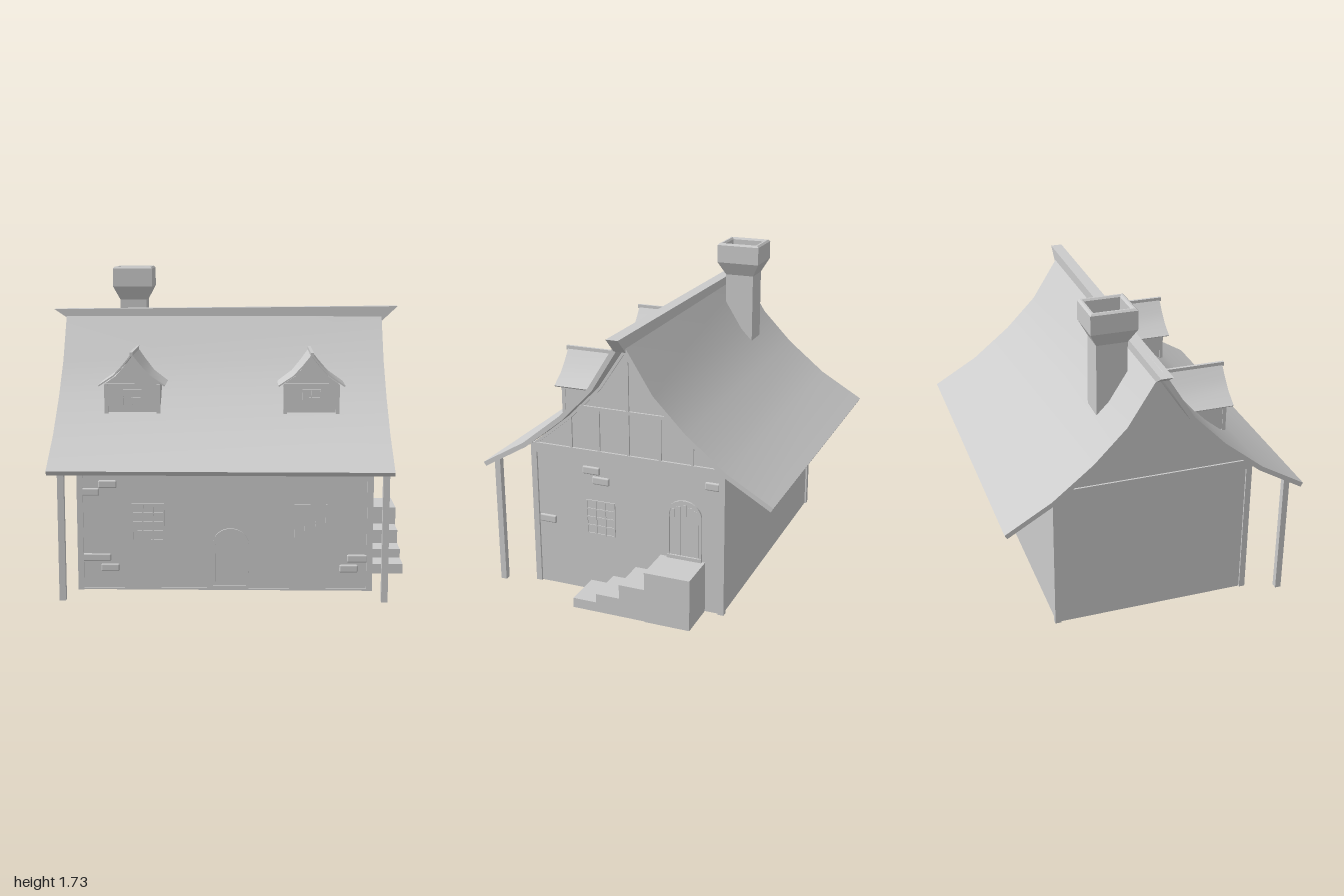
import * as THREE from 'three';
import { toCreasedNormals } from 'three/addons/utils/BufferGeometryUtils.js';
import { RoundedBoxGeometry } from 'three/addons/geometries/RoundedBoxGeometry.js';

const material = new THREE.MeshStandardMaterial({ color: 0xcccccc });

function add(parent, name, geometry) {
  const mesh = new THREE.Mesh(geometry, material);
  mesh.name = name;
  parent.add(mesh);
  return mesh;
}

// Box given by its limits on each axis
function box(parent, name, x0, x1, y0, y1, z0, z1) {
  const mesh = add(parent, name, new THREE.BoxGeometry(x1 - x0, y1 - y0, z1 - z0));
  mesh.position.set((x0 + x1) / 2, (y0 + y1) / 2, (z0 + z1) / 2);
  return mesh;
}

function extrude(points, depth) {
  const shape = new THREE.Shape(points.map(([x, y]) => new THREE.Vector2(x, y)));
  return new THREE.ExtrudeGeometry(shape, { depth, bevelEnabled: false });
}

// Extrusion whose profile lies across z and which runs from x0 to x1
function extrudeX(points, x0, x1) {
  return extrude(points, x1 - x0).rotateY(Math.PI / 2).translate(x0, 0, 0);
}

// Closed profile of a mirrored roof skin; half runs from eave to ridge
function roofProfile(half, t) {
  const inner = half.map(([x, y], i) => {
    const a = half[Math.max(i - 1, 0)], b = half[Math.min(i + 1, half.length - 1)];
    const dx = b[0] - a[0], dy = b[1] - a[1], len = Math.hypot(dx, dy);
    return x === 0 ? [0, y - t * len / Math.abs(dx)] : [x - t * dy / len, y + t * dx / len];
  });
  const mirror = (list) => list.slice(0, -1).reverse().map(([x, y]) => [-x, y]);
  return [...half, ...mirror(half), ...mirror(inner).reverse(), ...inner.reverse()];
}

// Arched door with frame, planks and sill; stands on local y = 0, faces +z
function makeDoor(name) {
  const door = new THREE.Group();
  door.name = name;
  const arch = (shape, w, h) => {
    const spring = h - w * 0.9;
    shape.moveTo(-w, 0).lineTo(w, 0).lineTo(w, spring);
    shape.absellipse(0, spring, w, w * 0.9, 0, Math.PI, false);
    return shape.lineTo(-w, 0);
  };
  const frame = arch(new THREE.Shape(), 0.0975, 0.34);
  frame.holes.push(arch(new THREE.Path(), 0.084, 0.326));
  const options = (depth) => ({ depth, bevelEnabled: false, curveSegments: 10 });
  add(door, 'doorFrame', new THREE.ExtrudeGeometry(frame, options(0.012)));
  add(door, 'doorLeaf', new THREE.ExtrudeGeometry(arch(new THREE.Shape(), 0.085, 0.327), options(0.003)));
  for (let i = -2; i <= 2; i++) {
    const x = i * 0.033, top = 0.315 - Math.abs(i) * 0.014;
    box(door, 'doorPlank', x - 0.012, x + 0.012, 0.02, top, 0, 0.007);
  }
  box(door, 'doorSill', -0.0975, 0.0975, 0, 0.022, 0, 0.016);
  return door;
}

// Window with a grid of bars, centred on its own origin and facing +z
function makeWindow(name, w, h, columns, rows) {
  const win = new THREE.Group();
  win.name = name;
  const b = w * 0.04;
  box(win, 'windowPane', -w / 2, w / 2, -h / 2, h / 2, 0, 0.004);
  for (let i = 0; i <= columns; i++) {
    const x = (i / columns - 0.5) * (w - b);
    box(win, 'windowBar', x - b / 2, x + b / 2, -h / 2, h / 2, 0, 0.01);
  }
  for (let i = 0; i <= rows; i++) {
    const y = (i / rows - 0.5) * (h - b);
    box(win, 'windowBar', -w / 2, w / 2, y - b / 2, y + b / 2, 0, 0.009);
  }
  return win;
}

function makeDormer(x) {
  const dormer = new THREE.Group();
  dormer.name = 'dormer';
  const walls = [[-0.148, 0.96], [0.148, 0.96], [0.148, 1.115], [0.09, 1.155], [0.045, 1.205], [0, 1.262],
    [-0.045, 1.205], [-0.09, 1.155], [-0.148, 1.115]];
  add(dormer, 'dormerWalls', extrude(walls, 0.335).translate(0, 0, 0.13));
  const half = [[0.18, 1.11], [0.1, 1.163], [0.05, 1.217], [0, 1.28]];
  const roof = extrude(roofProfile(half, 0.008), 0.365).translate(0, 0, 0.135);
  add(dormer, 'dormerRoof', toCreasedNormals(roof, 0.5));
  box(dormer, 'dormerRidge', -0.008, 0.008, 1.265, 1.288, 0.13, 0.51);
  box(dormer, 'dormerBeam', -0.148, 0.148, 1.105, 1.117, 0.46, 0.471);
  for (const s of [-1, 1]) {
    const post = box(dormer, 'dormerPost', -0.01, 0.01, 0.953, 1.11, 0.452, 0.472);
    post.position.x = s * 0.141;
  }
  const win = makeWindow('dormerWindow', 0.1, 0.09, 2, 2);
  win.position.set(0, 1.04, 0.464);
  dormer.add(win);
  dormer.position.x = x;
  return dormer;
}

export function createModel() {
  const house = new THREE.Group();
  house.name = 'cottage';

  // Walls with both gables
  add(house, 'walls', extrudeX([[-0.565, 0], [0.53, 0], [0.53, 0.84], [0.34, 1.005], [0.165, 1.185], [0, 1.43],
    [-0.165, 1.185], [-0.34, 1.005], [-0.565, 0.82]], -0.8, 0.77));
  for (const [x0, x1] of [[-0.81, -0.778], [0.75, 0.782]]) {
    box(house, 'cornerPost', x0, x1, 0, 0.83, 0.543, 0.576);
    box(house, 'cornerPost', x0, x1, 0, 0.83, -0.54, -0.507);
    box(house, 'wallBeam', x0, x1, 0.775, 0.83, -0.54, 0.555);
  }
  box(house, 'baseStrip', -0.78, 0.75, 0, 0.01, 0.56, 0.57);

  // Timber frame of the right gable
  box(house, 'collarBeam', 0.76, 0.781, 1.056, 1.076, -0.31, 0.31);
  box(house, 'kingPost', 0.76, 0.78, 1.07, 1.42, -0.007, 0.007);
  for (const [z, top] of [[0.333, 1.02], [0.17, 1.06], [0, 1.06], [-0.18, 1.06], [-0.36, 1.0]]) {
    box(house, 'gablePost', 0.76, 0.78, 0.82, top, z - 0.007, z + 0.007);
  }
  const rafters = [[0.555, 0.83], [0.335, 1.012], [0.162, 1.188], [0, 1.43]];
  add(house, 'gableRafters', extrudeX(roofProfile(rafters, 0.015), 0.76, 0.779));

  // Swept roof and its ridge beam with slanted ends
  const roofHalf = [[0.825, 0.705], [0.575, 0.852], [0.355, 1.03], [0.18, 1.21], [0.03, 1.45], [0, 1.49]];
  add(house, 'roof', toCreasedNormals(extrudeX(roofProfile(roofHalf, 0.026), -0.93, 0.865), 0.5));
  const ridge = [[-1, 1.487], [-0.93, 1.44], [0.865, 1.42], [0.885, 1.44], [0.955, 1.506]];
  add(house, 'ridgeBeam', extrude(ridge, 0.066).translate(0, 0, -0.035));

  house.add(makeDormer(-0.515), makeDormer(0.45));

  // Square chimney with a flared, hollow head
  const flue = [[0.075, 1.12], [0.075, 1.535], [0.1125, 1.612], [0.1125, 1.715], [0.103, 1.725], [0.094, 1.725],
    [0.086, 1.715], [0.086, 1.62], [0.055, 1.54], [0.055, 1.4], [0, 1.4]];
  const chimney = new THREE.LatheGeometry(flue.map(([r, y]) => new THREE.Vector2(r * Math.SQRT2, y)), 4)
    .rotateY(Math.PI / 4).scale(1, 1, 1.12).translate(-0.5575, 0, -0.163);
  add(house, 'chimney', toCreasedNormals(chimney, 0.3));

  // Posts under the front eave
  for (const x of [-0.865, 0.828]) box(house, 'porchPost', x - 0.017, x + 0.017, 0, 0.735, 0.735, 0.768);

  // Doors and windows
  const frontDoor = makeDoor('frontDoor');
  frontDoor.position.set(0.018, 0.003, 0.564);
  const sideDoor = makeDoor('sideDoor');
  sideDoor.position.set(0.769, 0.285, -0.315);
  sideDoor.rotation.y = Math.PI / 2;
  house.add(frontDoor, sideDoor);
  for (const x of [-0.427, 0.447]) {
    const win = makeWindow('frontWindow', 0.175, 0.205, 3, 4);
    win.position.set(x, 0.378, 0.576);
    house.add(win);
    box(house, 'windowBacking', x - 0.08, x + 0.08, 0.28, 0.475, 0.56, 0.577);
  }
  const sideWindow = makeWindow('sideWindow', 0.17, 0.2, 3, 4);
  sideWindow.position.set(0.767, 0.44, 0.17);
  sideWindow.rotation.y = Math.PI / 2;
  house.add(sideWindow);

  // Stairs rising to the side door
  for (const [z, top] of [[0.24, 0.055], [0.105, 0.105], [-0.03, 0.185]]) {
    box(house, 'stairStep', 0.765, 0.99, 0, top, -0.18, z);
  }
  box(house, 'stairLanding', 0.765, 0.995, 0, 0.287, -0.43, -0.177);

  // Loose bricks showing on the front wall: x limits, bottom
  const brick = (w, h, d, x, y, z) =>
    add(house, 'brick', new RoundedBoxGeometry(w, h, d, 2, 0.008)).position.set(x, y, z);
  for (const [x0, x1, y] of [[-0.695, -0.595, 0.563], [-0.785, -0.69, 0.52], [-0.785, -0.63, 0.158],
    [-0.685, -0.585, 0.102], [0.645, 0.755, 0.158], [0.605, 0.705, 0.102]]) {
    brick(x1 - x0, 0.042, 0.03, (x0 + x1) / 2, y + 0.021, 0.561);
  }
  // Bricks on the right wall: z limits, bottom
  for (const [z0, z1, y] of [[0.17, 0.27, 0.69], [0.115, 0.215, 0.636], [0.44, 0.54, 0.366], [-0.51, -0.43, 0.706]]) {
    brick(0.03, 0.044, z1 - z0, 0.767, y + 0.022, (z0 + z1) / 2);
  }
  return house;
}
